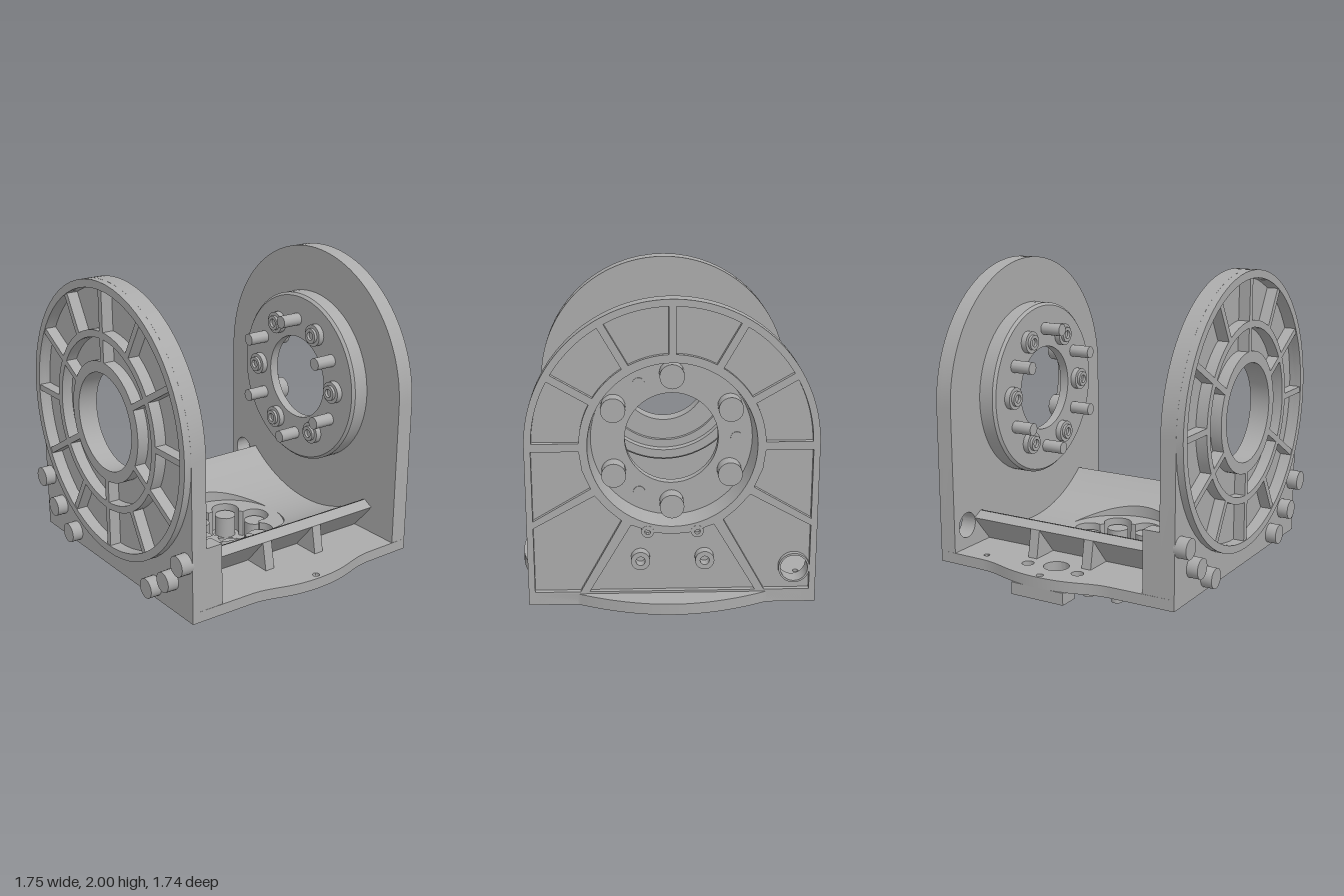
import * as THREE from 'three';
import { toCreasedNormals } from 'three/addons/utils/BufferGeometryUtils.js';

const CY = 1.21; // height of the pivot axis
const TR = 0.845; // radius of the curved floor
const troughY = (z, r = TR) => CY - Math.sqrt(r * r - z * z);

export function createModel() {
  const model = new THREE.Group();
  const metal = new THREE.MeshStandardMaterial({ color: 0xaaaaaa, side: THREE.DoubleSide });
  metal.name = 'grey metal';

  const add = (name, geo, parent = model) => {
    const mesh = new THREE.Mesh(toCreasedNormals(geo, 0.6), metal);
    mesh.name = name;
    parent.add(mesh);
    return mesh;
  };
  const group = (name) => {
    const g = new THREE.Group();
    g.name = name;
    model.add(g);
    return g;
  };
  const poly = (pts) => new THREE.Shape(pts.map(([a, b]) => new THREE.Vector2(a, b)));
  const disc = (u, v, r) => new THREE.Shape().absarc(u, v, r, 0, Math.PI * 2, false);
  const ring = (u, v, r, inner) => {
    const s = disc(u, v, r);
    s.holes.push(disc(u, v, inner));
    return s;
  };
  const extrude = (shape, depth) =>
    new THREE.ExtrudeGeometry(shape, { depth, bevelEnabled: false, curveSegments: 32 });
  // side profile (u = -z, v = y) extruded from x0 to x1
  const alongX = (shape, x0, x1) => extrude(shape, x1 - x0).rotateY(Math.PI / 2).translate(x0, 0, 0);
  // plan profile (x, -z) extruded from y0 to y1
  const alongY = (shape, y0, y1) => extrude(shape, y1 - y0).rotateX(-Math.PI / 2).translate(0, y0, 0);
  const lathe = (pts) => new THREE.LatheGeometry(pts.map(([r, h]) => new THREE.Vector2(r, h)), 72);
  const latheX = (pts) => lathe(pts).rotateZ(-Math.PI / 2).translate(0, CY, 0);
  const pinX = (u, v, r, x0, x1) =>
    new THREE.CylinderGeometry(r, r, x1 - x0, 24).rotateZ(Math.PI / 2).translate((x0 + x1) / 2, v, -u);
  const pinY = (x, z, r, y0, y1) => new THREE.CylinderGeometry(r, r, y1 - y0, 24).translate(x, (y0 + y1) / 2, z);
  const arch = (r = 0.79) => {
    const s = new THREE.Shape();
    s.moveTo(-r, 0.3);
    s.lineTo(r, 0.3);
    s.lineTo(r, CY);
    s.absarc(0, CY, r, 0, Math.PI, false);
    s.closePath();
    return s;
  };

  // Base plate with bulged edges and drilled back
  const base = group('base');
  const plan = new THREE.Shape();
  plan.moveTo(-0.81, -0.79);
  plan.lineTo(-0.42, -0.795);
  plan.bezierCurveTo(-0.28, -0.8, -0.22, -0.87, 0, -0.87);
  plan.bezierCurveTo(0.22, -0.87, 0.28, -0.8, 0.42, -0.795);
  plan.lineTo(0.72, -0.79);
  plan.lineTo(0.72, -0.52);
  plan.bezierCurveTo(0.82, -0.34, 0.87, -0.16, 0.87, 0);
  plan.bezierCurveTo(0.87, 0.16, 0.82, 0.34, 0.72, 0.52);
  plan.lineTo(0.72, 0.79);
  plan.lineTo(0.42, 0.795);
  plan.bezierCurveTo(0.28, 0.8, 0.22, 0.87, 0, 0.87);
  plan.bezierCurveTo(-0.22, 0.87, -0.28, 0.8, -0.42, 0.795);
  plan.lineTo(-0.81, 0.79);
  plan.closePath();
  plan.holes.push(disc(0, 0, 0.29), disc(0, 0.67, 0.073), disc(0.165, 0.71, 0.035),
    disc(-0.165, 0.71, 0.035), disc(0.445, 0.72, 0.017), disc(0, 0.835, 0.02), disc(0, -0.83, 0.02));
  add('basePlate', alongY(plan, 0.3, 0.363), base);
  const tab = poly([[-0.17, 0.75], [0.17, 0.75], [0.17, 0.867], [-0.17, 0.867]]);
  tab.holes.push(disc(0, 0.835, 0.02));
  add('backTab', alongY(tab, 0.23, 0.301), base);

  // Curved floor: grid from the round opening out to a rectangle
  const x0 = -0.72, x1 = 0.62, zw = 0.54, R = 0.34;
  const angles = Array.from({ length: 120 }, (_, i) => (i / 120) * Math.PI * 2 - Math.PI);
  for (const x of [x0, x1]) for (const z of [-zw, zw]) angles.push(Math.atan2(z, x));
  angles.sort((a, b) => a - b);
  const n = angles.length, steps = 10, pos = [], idx = [];
  for (let j = 0; j <= steps; j++) {
    for (const a of angles) {
      const c = Math.cos(a), s = Math.sin(a);
      const edge = Math.min((c > 0 ? x1 : x0) / (c || 1e-9), zw / Math.max(Math.abs(s), 1e-9));
      const r = R + ((edge - R) * j) / steps;
      pos.push(r * c, troughY(r * s), r * s);
    }
  }
  for (let i = 0; i < n; i++) pos.push(pos[i * 3], 0.355, pos[i * 3 + 2]);
  const quad = (a, b, i) => {
    const k = (i + 1) % n;
    idx.push(a + i, a + k, b + i, a + k, b + k, b + i);
  };
  for (let i = 0; i < n; i++) {
    for (let j = 0; j < steps; j++) quad(j * n, (j + 1) * n, i);
    quad((steps + 1) * n, 0, i); // opening wall
  }
  const floor = new THREE.BufferGeometry();
  floor.setAttribute('position', new THREE.Float32BufferAttribute(pos, 3));
  floor.setIndex(idx);
  add('curvedFloor', floor, base);

  // Front and back rails with ribs, and corner blocks by the right-hand wall
  for (const s of [1, -1]) {
    const arcPts = (a, b) => Array.from({ length: 9 }, (_, i) => {
      const z = a + ((b - a) * i) / 8;
      return [z * s, troughY(z, TR + 0.003)];
    });
    const rail = [...arcPts(0.36, 0.54), [0.6 * s, 0.525], [0.58 * s, 0.5], [0.46 * s, 0.36], [0.36 * s, 0.36]];
    add('rail', alongX(poly(rail), -0.72, 0.62), base);
    const rib = poly([[0.42 * s, 0.36], [0.63 * s, 0.36], [0.6 * s, 0.525], [0.51 * s, 0.52]]);
    for (const x of [-0.17, 0.19]) add('railRib', alongX(rib, x - 0.03, x + 0.03), base);
    const block = [[0.54 * s, 0.3], [0.79 * s, 0.3], [0.79 * s, 0.72], ...arcPts(0.688, 0.54)];
    add('cornerBlock', alongX(poly(block), -0.73, -0.62), base);
  }

  // Bottom hub with flower-shaped bolt pocket
  const hub = group('bottomHub');
  add('hubBody', lathe([[0.29, 0.2], [0.135, 0.2], [0.135, 0.105], [0.26, 0.105], [0.295, 0.135], [0.3, 0.24],
    [0.27, 0.245], [0.275, 0.262], [0.325, 0.265], [0.342, 0.3], [0.28, 0.3]]), hub);
  const flower = Array.from({ length: 144 }, (_, i) => {
    const a = (i / 144) * Math.PI * 2;
    const d = a - Math.round(a / (Math.PI / 3)) * (Math.PI / 3);
    const q = 0.085 ** 2 - (0.2 * Math.sin(d)) ** 2;
    const r = Math.max(0.187, q > 0 ? 0.2 * Math.cos(d) + Math.sqrt(q) : 0);
    return new THREE.Vector2(r * Math.cos(a), r * Math.sin(a));
  });
  const collar = disc(0, 0, 0.295);
  collar.holes.push(new THREE.Path(flower));
  add('pocketCollar', alongY(collar, 0.2, 0.366), hub);
  add('pocketRim', alongY(ring(0, 0, 0.342, 0.29), 0.3, 0.366), hub);
  for (let i = 0; i < 6; i++) {
    const a = (i * Math.PI) / 3, b = a + Math.PI / 6;
    const x = 0.2 * Math.cos(a), z = 0.2 * Math.sin(a);
    add('hubBoltHead', pinY(x, z, 0.064, 0.2, 0.33), hub);
    add('hubBolt', pinY(x, z, 0.033, 0, 0.2), hub);
    add('hubStud', pinY(0.2 * Math.cos(b), 0.2 * Math.sin(b), 0.045, 0.09, 0.11), hub);
  }

  // Wall at +x: flat web plus a raised rib layer with pockets
  const wallA = group('leftWall');
  const web = arch();
  web.holes.push(disc(0, CY, 0.47), disc(0.67, 0.5, 0.075));
  add('wallWeb', alongX(web, 0.62, 0.69), wallA);
  const ribs = arch();
  ribs.holes.push(disc(0, CY, 0.47));
  const ro = 0.752, ri = 0.5, w = 0.02;
  for (let i = 0; i < 6; i++) {
    const a = (i * Math.PI) / 3 / 2, b = a + Math.PI / 6;
    const p = new THREE.Path();
    p.absarc(0, CY, ro, a + w / ro, b - w / ro, false);
    p.absarc(0, CY, ri, b - w / ri, a + w / ri, true);
    p.closePath();
    ribs.holes.push(p);
  }
  for (const s of [1, -1]) {
    ribs.holes.push(
      poly([[0.755, 1.185], [0.5, 1.185], [0.485, 1.08], [0.44, 0.975], [0.755, 0.79]].map(([u, v]) => [u * s, v])),
      poly([[0.755, 0.75], [0.42, 0.935], [0.35, 0.855], [0.275, 0.79], [0.505, 0.375], [0.755, 0.375]]
        .map(([u, v]) => [u * s, v])));
  }
  ribs.holes.push(poly([[-0.455, 0.375], [0.455, 0.375], [0.225, 0.765], [0.1, 0.72], [0, 0.71], [-0.1, 0.72],
    [-0.225, 0.765]]));
  add('wallRibs', alongX(ribs, 0.69, 0.72), wallA);
  add('cornerHoleRim', alongX(ring(0.67, 0.5, 0.086, 0.075), 0.685, 0.72), wallA);
  add('innerFlange', latheX([[0.255, 0.57], [0.255, 0.515], [0.505, 0.515], [0.52, 0.53], [0.52, 0.625],
    [0.48, 0.625], [0.48, 0.72], [0.455, 0.72], [0.44, 0.57], [0.255, 0.57]]), wallA);
  for (const s of [1, -1]) {
    add('lowerBoss', alongX(ring(0.175 * s, 0.565, 0.052, 0.025), 0.685, 0.75), wallA);
    add('upperBoss', alongX(ring(0.135 * s, 0.725, 0.034, 0.016), 0.685, 0.722), wallA);
  }
  for (let i = 0; i < 6; i++) {
    const b = (i * Math.PI) / 3, a = b + Math.PI / 6;
    const u = 0.365 * Math.cos(a), v = CY + 0.365 * Math.sin(a);
    add('flangeBoltHead', pinX(u, v, 0.067, 0.565, 0.66), wallA);
    add('flangeBolt', pinX(u, v, 0.037, 0.385, 0.52), wallA);
    const nu = 0.355 * Math.cos(b), nv = CY + 0.355 * Math.sin(b);
    add('flangeNut', pinX(nu, nv, 0.066, 0.48, 0.52), wallA);
    add('flangeNutTip', alongX(ring(nu, nv, 0.045, 0.025), 0.463, 0.481), wallA);
    if (i % 2 === 0) add('smallScrew', pinX(nu, nv, 0.033, 0.565, 0.575), wallA);
  }

  // Wall at -x: arched frame, round web, concentric rings and spokes
  const wallB = group('rightWall');
  const frame = arch();
  frame.holes.push(disc(0, CY, 0.745));
  add('wallFrame', alongX(frame, -0.81, -0.72), wallB);
  add('outerRim', alongX(ring(0, CY, 0.79, 0.745), -0.85, -0.805), wallB);
  add('roundWeb', alongX(ring(0, CY, 0.76, 0.5), -0.78, -0.72), wallB);
  add('middleRing', alongX(ring(0, CY, 0.515, 0.475), -0.845, -0.77), wallB);
  add('bearingSeat', latheX([[0.28, -0.845], [0.28, -0.73], [0.41, -0.73], [0.41, -0.7], [0.46, -0.7],
    [0.465, -0.655], [0.52, -0.655], [0.532, -0.67], [0.532, -0.78], [0.345, -0.78], [0.345, -0.845],
    [0.28, -0.845]]), wallB);
  for (let i = 0; i < 12; i++) {
    const spoke = (r0, r1) => new THREE.BoxGeometry(0.07, r1 - r0, 0.035)
      .translate(-0.81, (r0 + r1) / 2, 0).rotateX((i * Math.PI) / 6).translate(0, CY, 0);
    add('outerSpoke', spoke(0.5, 0.75), wallB);
    if (i % 2 === 0) add('innerSpoke', spoke(0.335, 0.485), wallB);
  }
  for (const s of [1, -1]) {
    for (const [u, v] of [[0.735, 0.64], [0.6, 0.49], [0.43, 0.38]]) {
      add('wallBolt', pinX(u * s, v, 0.058, -0.875, -0.8), wallB);
    }
  }
  return model;
}
